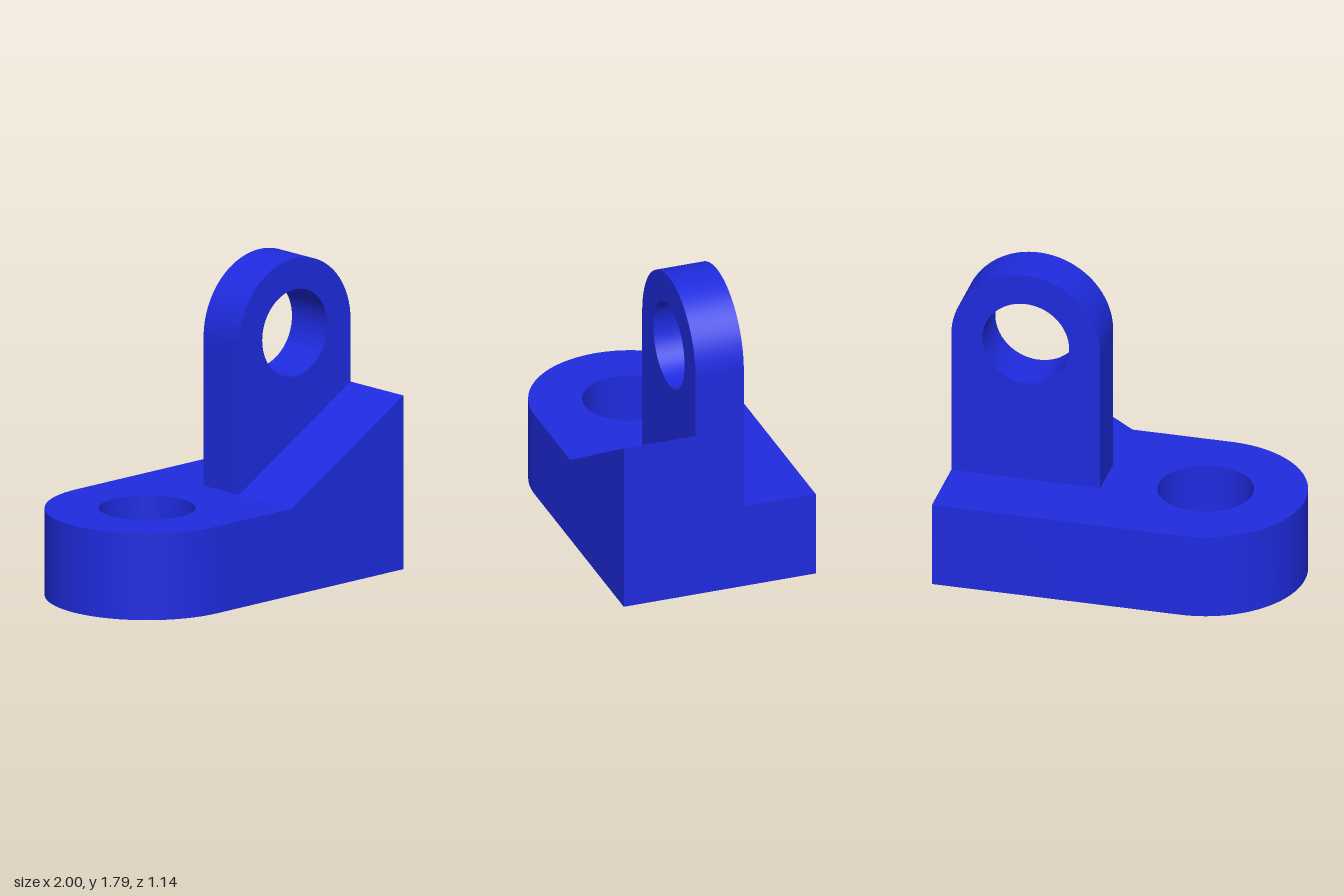
import * as THREE from 'three';
import { toCreasedNormals } from 'three/addons/utils/BufferGeometryUtils.js';

const BASE_R = 0.571, BASE_H = 0.5, BASE_X = -0.429;
const LUG_R = 0.429, LUG_X = 0.571, LUG_Y = 1.357, LUG_HALF = 0.143;

const material = new THREE.MeshStandardMaterial({ color: 0x1f2be0 });

// Extrude a shape along +z, keeping curved walls smooth and edges sharp
function extrude(shape, depth) {
  const geometry = new THREE.ExtrudeGeometry(shape, { depth, bevelEnabled: false, curveSegments: 48 });
  return toCreasedNormals(geometry, Math.PI / 6);
}

function addPart(group, name, geometry) {
  const mesh = new THREE.Mesh(geometry, material);
  mesh.name = name;
  group.add(mesh);
}

function addHole(shape, x, y, r) {
  shape.holes.push(new THREE.Path().absarc(x, y, r, 0, Math.PI * 2, true));
}

export function createModel() {
  const group = new THREE.Group();
  group.name = 'bracket';

  // Base plate: one rounded end with a vertical bolt hole
  const base = new THREE.Shape();
  base.moveTo(1, -BASE_R);
  base.lineTo(1, BASE_R);
  base.lineTo(BASE_X, BASE_R);
  base.absarc(BASE_X, 0, BASE_R, Math.PI / 2, Math.PI * 1.5, false);
  addHole(base, BASE_X, 0, 0.27);
  addPart(group, 'basePlate', extrude(base, BASE_H).rotateX(-Math.PI / 2));

  // Upright lug: round top with a horizontal pin hole
  const lug = new THREE.Shape();
  lug.moveTo(LUG_X - LUG_R, BASE_H);
  lug.lineTo(1, BASE_H);
  lug.lineTo(1, LUG_Y);
  lug.absarc(LUG_X, LUG_Y, LUG_R, 0, Math.PI, false);
  addHole(lug, LUG_X, LUG_Y, 0.25);
  addPart(group, 'uprightLug', extrude(lug, LUG_HALF * 2).translate(0, 0, -LUG_HALF));

  // Sloping wedge on the front side of the lug
  const wedge = new THREE.Shape();
  wedge.moveTo(LUG_X - LUG_R, BASE_H);
  wedge.lineTo(1, BASE_H);
  wedge.lineTo(1, 1);
  addPart(group, 'wedge', extrude(wedge, BASE_R - LUG_HALF).translate(0, 0, LUG_HALF));

  return group;
}
